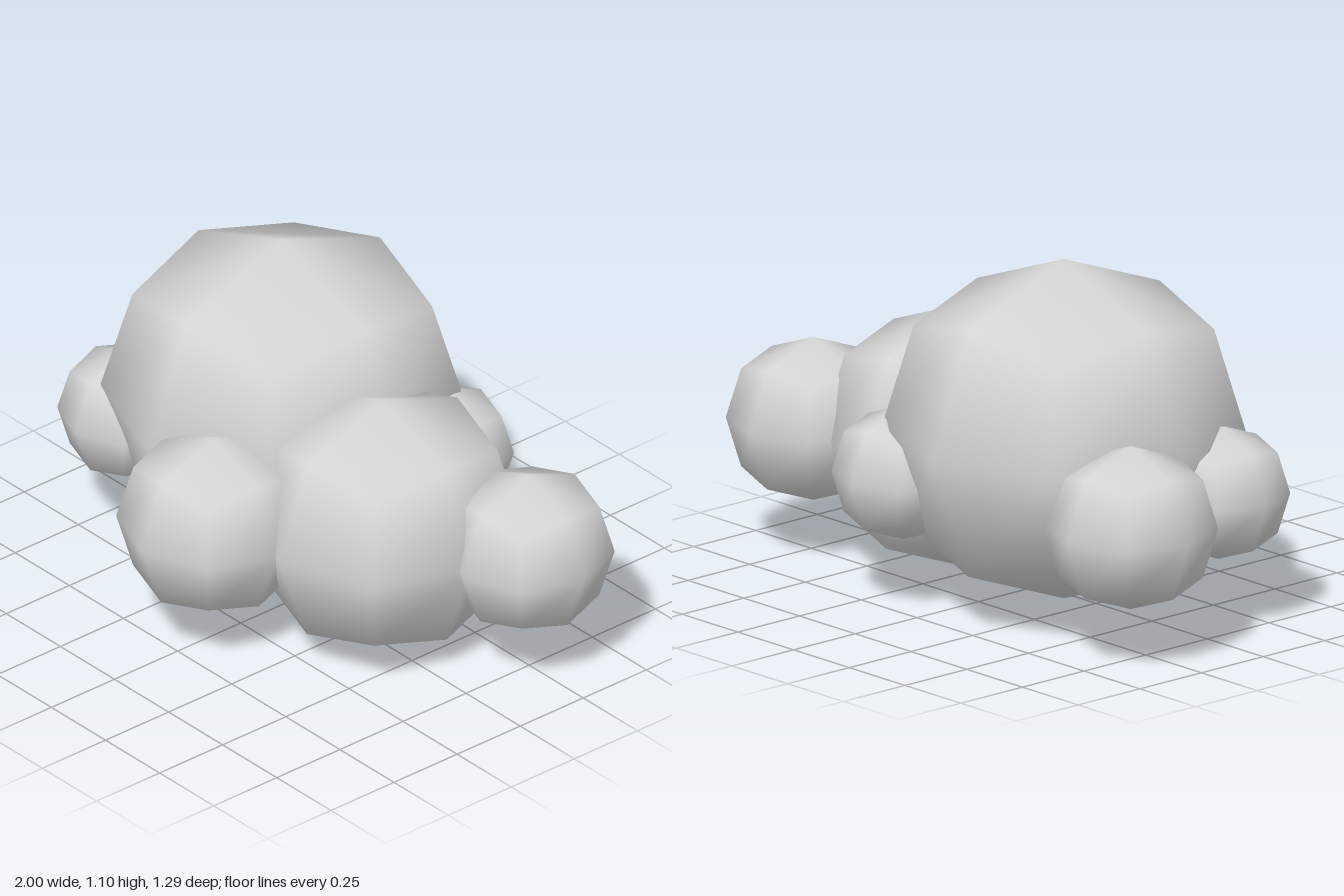
import * as THREE from 'three';
import { mergeVertices } from 'three/addons/utils/BufferGeometryUtils.js';

// Rounded cube: 2 x 2 quads per side, pushed out to a smooth-shaded ball.
function puffGeometry(radius) {
  const box = new THREE.BoxGeometry(2, 2, 2, 2, 2, 2);
  box.deleteAttribute('uv');
  box.deleteAttribute('normal');
  box.clearGroups();
  const geometry = mergeVertices(box);
  const pos = geometry.attributes.position;
  const reach = [0, 1, 0.727, 0.6]; // side centre, edge middle, corner
  const v = new THREE.Vector3();
  for (let i = 0; i < pos.count; i++) {
    v.fromBufferAttribute(pos, i);
    const outer = Math.round(Math.abs(v.x) + Math.abs(v.y) + Math.abs(v.z));
    v.multiplyScalar(reach[outer] * radius);
    pos.setXYZ(i, v.x, v.y, v.z);
  }
  geometry.computeVertexNormals();
  return geometry;
}

export function createModel() {
  const cloud = new THREE.Group();
  cloud.name = 'cloud';
  const cloudGrey = new THREE.MeshStandardMaterial({ color: 0xd6d6d6 });
  cloudGrey.name = 'cloudGrey';

  // name, radius, centre
  const puffs = [
    ['mainPuff', 0.533, -0.23, 0.57, -0.112],
    ['secondPuff', 0.41, 0.318, 0.413, -0.038],
    ['frontPuff', 0.287, 0.005, 0.413, 0.36],
    ['leftEndPuff', 0.256, 0.742, 0.413, -0.25],
    ['rightEndPuff', 0.256, -0.744, 0.413, -0.305],
    ['rightFrontPuff', 0.21, -0.645, 0.413, 0.14],
    ['backPuff', 0.21, 0.145, 0.413, -0.425],
  ];
  for (const [name, radius, x, y, z] of puffs) {
    const puff = new THREE.Mesh(puffGeometry(radius), cloudGrey);
    puff.name = name;
    puff.position.set(x, y, z);
    cloud.add(puff);
  }
  return cloud;
}
